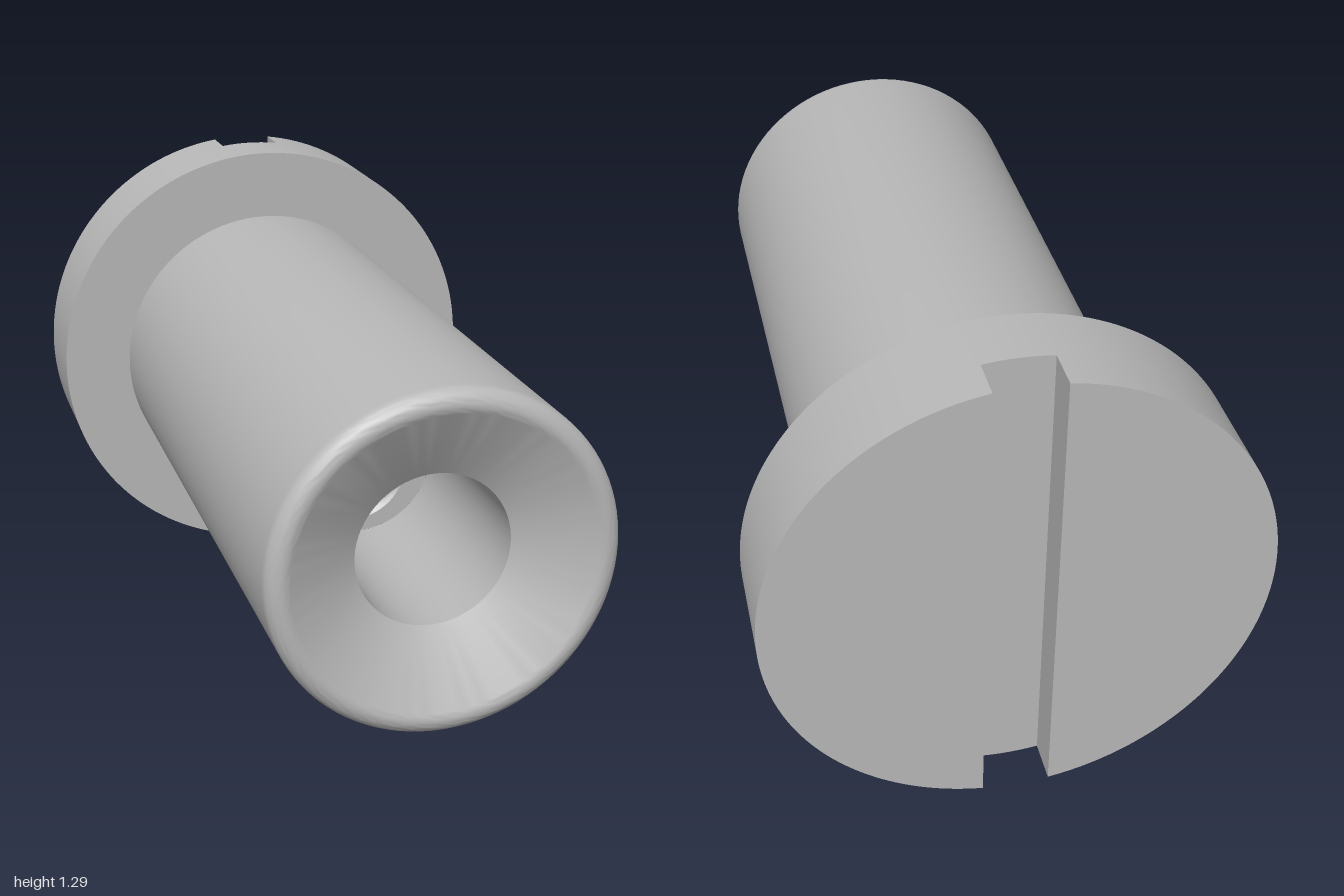
import * as THREE from 'three';
import { toCreasedNormals } from 'three/addons/utils/BufferGeometryUtils.js';

const CY = 0.6475;      // height of the screw axis
const HEAD_R = 0.6475;
const SHAFT_R = 0.447;
const BORE_R = 0.2;
const STEP_Z = 0.3;     // where the wide bore meets the threaded one
const FLOOR_Z = -0.6;

export function createModel() {
  const group = new THREE.Group();
  const steel = new THREE.MeshStandardMaterial({ color: 0xb8b8b8 });
  steel.name = 'steel grey';

  const add = (name, geometry) => {
    const mesh = new THREE.Mesh(geometry, steel);
    mesh.name = name;
    mesh.position.y = CY;
    group.add(mesh);
  };
  // Revolve [radius, z] points around the z axis
  const revolve = (points, segments = 96) =>
    new THREE.LatheGeometry(points.map(([r, z]) => new THREE.Vector2(r, z)), segments).rotateX(Math.PI / 2);
  const extrude = (shape, z, depth) =>
    toCreasedNormals(
      new THREE.ExtrudeGeometry(shape, { depth, bevelEnabled: false, curveSegments: 96 }).translate(0, 0, z), 0.5);

  // Shaft: outer wall, rounded rim, countersunk cone and wide bore
  const f = 0.04;
  const profile = [[SHAFT_R, -0.715]];
  for (let i = 0; i <= 12; i++) {
    const a = (i / 12) * (Math.PI * 2 / 3);
    profile.push([SHAFT_R - f + f * Math.cos(a), 1 - f + f * Math.sin(a)]);
  }
  profile.push([BORE_R, 0.887], [BORE_R, STEP_Z]);
  add('shaft', toCreasedNormals(revolve(profile), 0.45));

  // Threaded bore: a step, then a narrow wall with a right-hand helical groove
  const wall = [[BORE_R, STEP_Z]];
  const rows = 96, pitch = 0.15, minor = 0.14;
  for (let i = 0; i <= rows; i++) wall.push([minor, STEP_Z + (FLOOR_Z - STEP_Z) * i / rows]);
  const thread = revolve(wall, 72);
  const p = thread.attributes.position;
  for (let i = 0; i < p.count; i++) {
    const x = p.getX(i), y = p.getY(i);
    if (Math.hypot(x, y) > 0.17) continue;
    const angle = Math.atan2(y, x);
    const phase = (angle - 3.58) / (2 * Math.PI) + (STEP_Z - p.getZ(i)) / pitch;
    const d = Math.abs(phase - Math.round(phase)) * 360;
    const r = minor + 0.053 * Math.max(0, 1 - d / 125);
    p.setXY(i, r * Math.cos(angle), r * Math.sin(angle));
  }
  add('threadedBore', toCreasedNormals(thread, 0.6));
  add('boreFloor', new THREE.CircleGeometry(BORE_R, 64).translate(0, 0, FLOOR_Z));

  // Head: full disc in front, two circle segments behind that leave the slot
  const disc = new THREE.Shape();
  disc.absarc(0, 0, HEAD_R, 0, Math.PI * 2, false);
  add('headDisc', extrude(disc, -0.89, 0.175));

  const a = Math.acos(0.088 / HEAD_R);
  for (const [name, turn] of [['headHalfLeft', 0], ['headHalfRight', Math.PI]]) {
    const half = new THREE.Shape();
    half.absarc(0, 0, HEAD_R, turn - a, turn + a, false);
    half.closePath();
    add(name, extrude(half, -1, 0.11));
  }
  return group;
}
